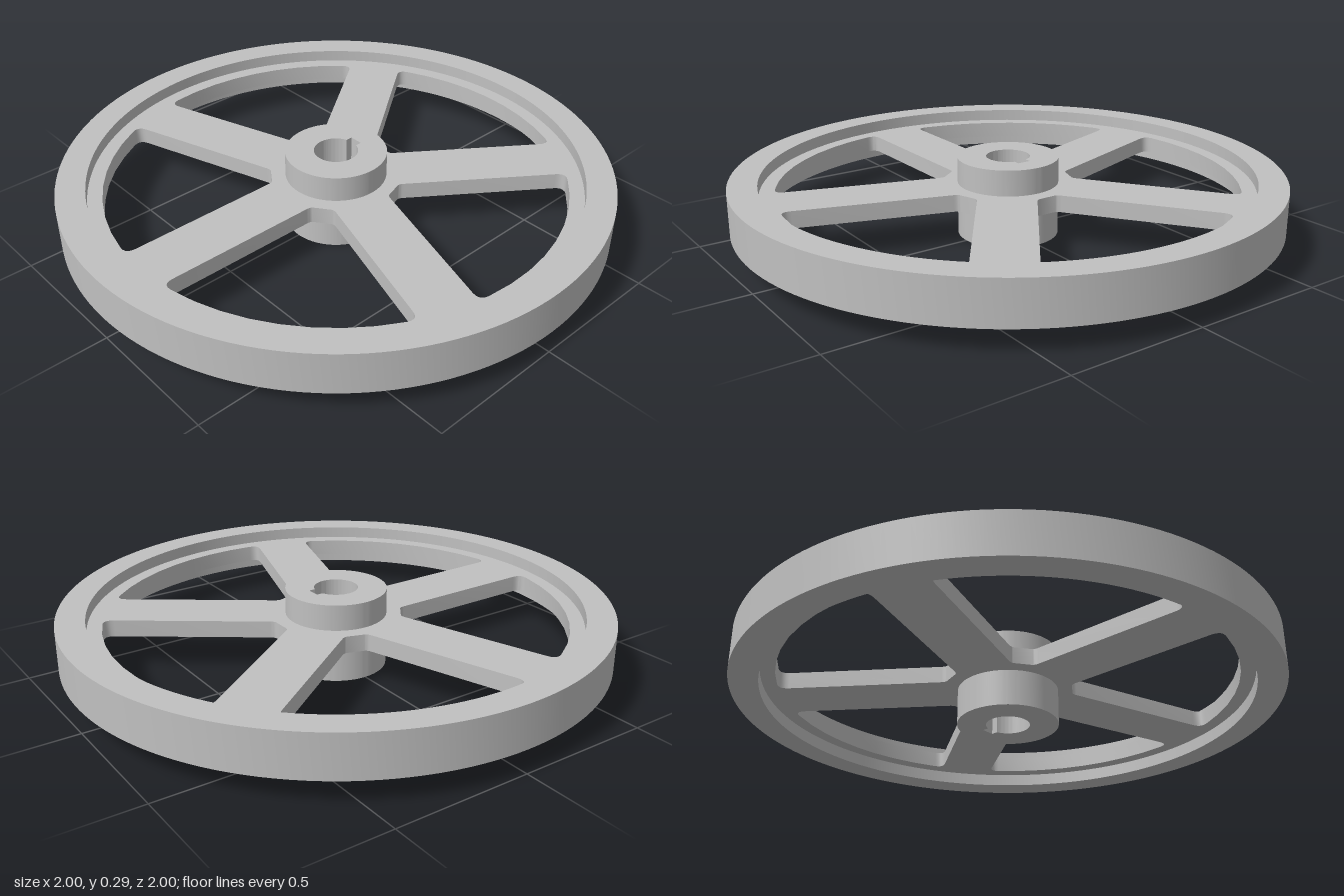
import * as THREE from 'three';
import { toCreasedNormals } from 'three/addons/utils/BufferGeometryUtils.js';

const SPOKES = 5, SPOKE_HALF = 0.105;
const RIM_INNER = 0.895, HUB_R = 0.185, BORE_R = 0.08;
const HALF_PITCH = Math.PI / SPOKES;

const polar = (r, a) => new THREE.Vector2(r * Math.cos(a), r * Math.sin(a));

function disc(radius) {
  const s = new THREE.Shape();
  s.absarc(0, 0, radius, 0, Math.PI * 2, false);
  return s;
}

// Flat plate lying between heights y0 and y1, crisp edges and smooth round walls
function plate(name, shape, y0, y1, material) {
  const g = new THREE.ExtrudeGeometry(shape, { depth: y1 - y0, bevelEnabled: false, curveSegments: 72 });
  g.rotateX(-Math.PI / 2);
  g.translate(0, y0, 0);
  const mesh = new THREE.Mesh(toCreasedNormals(g, 0.5), material);
  mesh.name = name;
  return mesh;
}

// Opening between two spokes, centred on the given angle, with rounded corners
function spokeWindow(angle) {
  const outer = 0.842, inner = 0.237;
  const tip = SPOKE_HALF / Math.sin(HALF_PITCH);
  const cornerA = HALF_PITCH - Math.asin(SPOKE_HALF / outer);
  const edge = u => new THREE.Vector2(u, (u - tip) * Math.tan(HALF_PITCH));
  const corner = polar(outer, cornerA);
  const half = [new THREE.Vector2(inner, 0.032)];
  const round = (a, b, c) => half.push(...new THREE.QuadraticBezierCurve(a, b, c).getPoints(5));
  round(new THREE.Vector2(inner, 0.032), edge(inner), edge(inner + 0.014));
  round(edge(corner.x - 0.032), corner, polar(outer, cornerA - 0.045));
  half.shift();
  const arcA = cornerA - 0.045, arc = [];
  for (let i = 1; i < 8; i++) arc.push(polar(outer, arcA * (1 - i / 4)));
  const mirrored = half.map(p => new THREE.Vector2(p.x, -p.y)).reverse();
  const centre = new THREE.Vector2();
  return new THREE.Path([...half, ...arc, ...mirrored].map(p => p.clone().rotateAround(centre, angle)));
}

// Round bore with a square keyway on its rear side
function keyedBore() {
  const w = 0.025, a = Math.acos(w / BORE_R);
  const p = new THREE.Path();
  p.moveTo(w, 0.1);
  p.lineTo(-w, 0.1);
  p.lineTo(-w, BORE_R * Math.sin(a));
  p.absarc(0, 0, BORE_R, Math.PI - a, Math.PI * 2 + a, false);
  p.lineTo(w, 0.1);
  return p;
}

export function createModel() {
  const metal = new THREE.MeshStandardMaterial({ color: 0xc0c0c0 });
  metal.name = 'grey metal';
  const wheel = new THREE.Group();
  wheel.name = 'spokedWheel';

  // Rim
  const rim = disc(1);
  rim.holes.push(disc(RIM_INNER));
  wheel.add(plate('rim', rim, 0.085, 0.24, metal));

  // Thin web with the windows cut out, leaving the spokes
  const web = disc(RIM_INNER + 0.005);
  web.holes.push(disc(HUB_R - 0.005));
  for (let i = 0; i < SPOKES; i++) web.holes.push(spokeWindow(Math.PI / 2 + i * 2 * HALF_PITCH));
  wheel.add(plate('spokes', web, 0.133, 0.195, metal));

  // Hub
  const hub = disc(HUB_R);
  hub.holes.push(keyedBore());
  wheel.add(plate('hub', hub, 0, 0.29, metal));

  return wheel;
}
